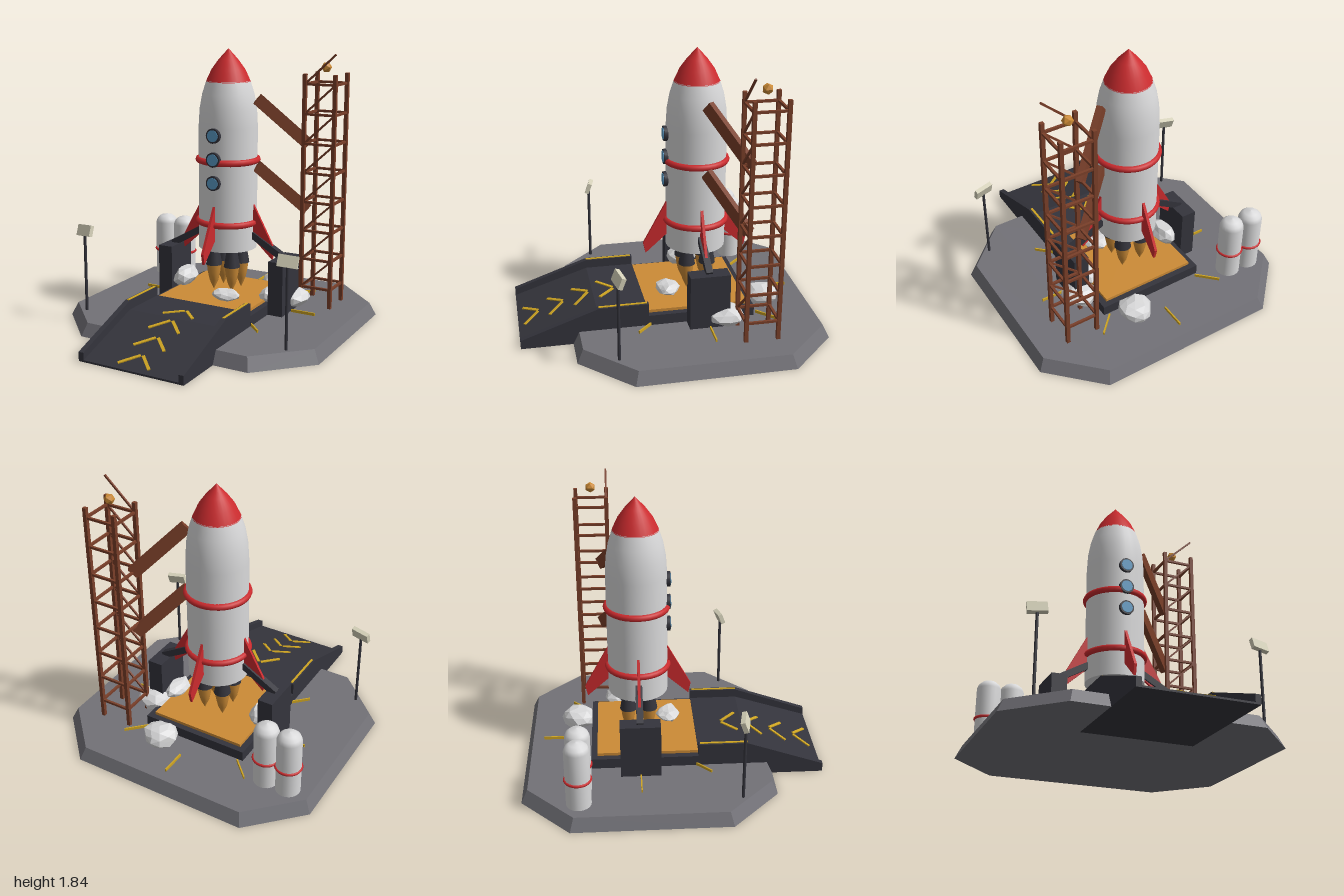
import * as THREE from 'three';
import { ConvexGeometry } from 'three/addons/geometries/ConvexGeometry.js';

const PAD_TOP = 0.085;
const ROCKET_Z = -0.225;

export function createModel() {
  const model = new THREE.Group();
  model.name = 'rocketLaunchPad';

  const mat = (name, color) => {
    const m = new THREE.MeshStandardMaterial({ color });
    m.name = name;
    return m;
  };
  const concrete = mat('concrete', 0x727177);
  const dark = mat('darkMetal', 0x34343c);
  const orange = mat('orange', 0xcc8b36);
  const white = mat('white', 0xd9d9da);
  const red = mat('red', 0xcc2b2e);
  const brown = mat('rustBrown', 0x7a3f29);
  const yellow = mat('yellow', 0xcfa522);
  const blue = mat('windowBlue', 0x5b9dca);
  const cream = mat('lampCream', 0xd6d2ba);

  const add = (name, geo, material, x = 0, y = 0, z = 0, parent = model) => {
    const mesh = new THREE.Mesh(geo, material);
    mesh.name = name;
    mesh.position.set(x, y, z);
    parent.add(mesh);
    return mesh;
  };
  const box = (w, h, d) => new THREE.BoxGeometry(w, h, d);
  const vec = (x, y, z) => new THREE.Vector3(x, y, z);
  const lathe = (pts, n) => new THREE.LatheGeometry(pts.map(p => new THREE.Vector2(...p)), n);

  // Box running from a to b
  const beam = (name, a, b, w, h, material) => {
    const mid = a.clone().add(b).multiplyScalar(0.5);
    const mesh = add(name, box(w, h, a.distanceTo(b)), material, mid.x, mid.y, mid.z);
    mesh.lookAt(b);
    return mesh;
  };

  // Side profile given as [z, y], extruded along x
  const sideProfile = (pts, width) => {
    const geo = new THREE.ExtrudeGeometry(new THREE.Shape(pts.map(p => new THREE.Vector2(...p))),
      { depth: width, bevelEnabled: false });
    return geo.translate(0, 0, -width / 2).rotateY(-Math.PI / 2);
  };

  // Octagonal pad with sloping sides
  const padPoints = [];
  for (const [inset, y] of [[0, 0], [0.04, PAD_TOP]]) {
    const c = 0.32 - inset * 0.4;
    const hx = 0.93 - inset, hz = 0.83 - inset;
    for (const sx of [-1, 1]) for (const sz of [-1, 1]) {
      padPoints.push(vec(sx * hx, y, sz * (hz - c) - 0.17), vec(sx * (hx - c), y, sz * hz - 0.17));
    }
  }
  add('pad', new ConvexGeometry(padPoints), concrete);

  // Radial floor markings
  for (let i = 0; i < 8; i++) {
    const a = i * Math.PI / 4;
    const m = add('floorMarking', box(0.17, 0.02, 0.009), yellow,
      Math.cos(a) * 0.575, PAD_TOP + 0.009, ROCKET_Z + Math.sin(a) * 0.575);
    m.rotation.y = -a;
  }

  // Launch table
  add('tableBase', box(0.75, 0.13, 0.71), dark, 0, 0.09, -0.195);
  add('tableDeck', box(0.666, 0.02, 0.67), orange, 0, 0.165, -0.175);

  // Ramp with side walls
  add('rampDeck', sideProfile([[1, 0], [1, 0.012], [0.49, 0.18], [0.16, 0.18], [0.16, 0]], 0.68), dark);
  for (const s of [-1, 1]) {
    add('rampWall', sideProfile([[1, 0], [1, 0.06], [0.49, 0.24], [0.16, 0.24], [0.16, 0]], 0.036),
      dark, s * 0.355);
    add('wallStripe', box(0.015, 0.006, 0.32), yellow, s * 0.353, 0.242, 0.33);
  }
  [0.345, 0.52, 0.69, 0.86].forEach((z, i) => {
    const chevron = new THREE.Group();
    chevron.name = 'chevron';
    chevron.position.set(0, i ? 0.18 - (z - 0.49) * 0.329 + 0.003 : 0.183, z);
    chevron.rotation.x = i ? Math.atan(0.329) : 0;
    for (const s of [-1, 1]) {
      add('chevronArm', box(0.145, 0.008, 0.02), yellow, s * 0.06, 0, 0.055, chevron)
        .rotation.y = -s * Math.PI / 4;
    }
    model.add(chevron);
  });

  // Support pillars and hold-down arms
  for (const s of [-1, 1]) {
    add('pillar', box(0.105, 0.375, 0.265), dark, s * 0.4275, 0.2675, ROCKET_Z);
    beam('holdDownArm', vec(s * 0.435, 0.45, ROCKET_Z), vec(s * 0.19, 0.59, ROCKET_Z), 0.045, 0.045, dark);
  }

  // Rocket
  const rocket = new THREE.Group();
  rocket.name = 'rocket';
  rocket.position.z = ROCKET_Z;
  model.add(rocket);
  add('body', lathe([[0.2, 0.485], [0.2, 0.9], [0.2, 1.32], [0.193, 1.44], [0.175, 1.54], [0.148, 1.625]], 28),
    white, 0, 0, 0, rocket);
  add('bodyBottom', new THREE.CircleGeometry(0.2, 28).rotateX(Math.PI / 2), white, 0, 0.485, 0, rocket);
  add('noseCone', lathe([[0.15, 1.62], [0.113, 1.7], [0.066, 1.765], [0, 1.838]], 28), red, 0, 0, 0, rocket);
  for (const y of [0.67, 1.095]) {
    add('bodyRing', new THREE.TorusGeometry(0.2, 0.022, 8, 32).rotateX(Math.PI / 2), red, 0, y, 0, rocket);
  }
  for (const y of [0.96, 1.118, 1.278]) {
    add('windowFrame', new THREE.CylinderGeometry(0.05, 0.05, 0.03, 20).rotateX(Math.PI / 2),
      dark, 0, y, 0.205, rocket);
    add('windowGlass', new THREE.CylinderGeometry(0.039, 0.039, 0.006, 20).rotateX(Math.PI / 2),
      blue, 0, y, 0.221, rocket);
  }
  const finShape = new THREE.Shape([[0.19, 0.815], [0.358, 0.505], [0.342, 0.433], [0.19, 0.57]]
    .map(p => new THREE.Vector2(...p)));
  const finGeo = new THREE.ExtrudeGeometry(finShape, { depth: 0.018, bevelEnabled: false }).translate(0, 0, -0.009);
  for (let i = 0; i < 4; i++) {
    add('fin', finGeo, red, 0, 0, 0, rocket).rotation.y = i * Math.PI / 2;
  }
  // Engines with exhaust flames
  for (const sx of [-1, 1]) for (const sz of [-1, 1]) {
    add('engineBell', new THREE.CylinderGeometry(0.034, 0.057, 0.13, 14), dark, sx * 0.07, 0.425, sz * 0.07, rocket);
    add('flame', lathe([[0, 0.178], [0.03, 0.245], [0.043, 0.305], [0.05, 0.362]], 12),
      orange, sx * 0.07, 0, sz * 0.07, rocket);
  }

  // Service tower
  const tx = [0.476, 0.69], tz = [-0.62, -0.408];
  for (const x of tx) for (const z of tz) {
    add('towerPost', box(0.025, 1.59, 0.025), brown, x, 0.88, z);
  }
  for (let i = 0; i < 8; i++) {
    const y = 0.215 + i * 0.199;
    for (const z of tz) add('towerRung', box(0.214, 0.016, 0.016), brown, 0.583, y, z);
    for (const x of tx) add('towerRung', box(0.016, 0.016, 0.212), brown, x, y, -0.514);
    beam('towerBrace', vec(tx[0], y, tz[1]), vec(tx[1], y + 0.199, tz[1]), 0.012, 0.012, brown);
  }
  add('beacon', new THREE.IcosahedronGeometry(0.036, 0), orange, 0.583, 1.715, -0.514);
  for (const y of [1.2, 0.75]) {
    beam('accessArm', vec(0.205, y + 0.31, -0.25), vec(0.485, y, -0.463), 0.04, 0.08, brown);
  }

  // Fuel tanks
  for (const x of [-0.745, -0.587]) {
    add('fuelTank', lathe([[0.081, PAD_TOP], [0.081, 0.3], [0.081, 0.48], [0.07, 0.508], [0.045, 0.53], [0, 0.541]], 20),
      white, x, 0, -0.625);
    add('tankBand', new THREE.TorusGeometry(0.081, 0.01, 6, 24).rotateX(Math.PI / 2), red, x, 0.27, -0.625);
  }

  // Floodlights
  for (const s of [-1, 1]) {
    add('lampPole', new THREE.CylinderGeometry(0.01, 0.01, 0.53, 8), dark, s * 0.744, 0.345, 0.413);
    const head = add('lampHead', box(0.125, 0.075, 0.03), cream, s * 0.744, 0.64, 0.408);
    head.rotation.set(-0.36, s * 0.22, 0);
  }

  // Boulders: jittered icospheres
  const rock = (x, y, z, rx, ry, rz, seed) => {
    const geo = new THREE.IcosahedronGeometry(1, 1);
    const p = geo.attributes.position;
    for (let i = 0; i < p.count; i++) {
      const v = vec(p.getX(i), p.getY(i), p.getZ(i));
      const n = Math.sin(Math.round(v.x * 50) * 12.99 + Math.round(v.y * 50) * 78.23
        + Math.round(v.z * 50) * 37.72 + seed) * 437.58;
      v.multiplyScalar(0.82 + 0.24 * (n - Math.floor(n)));
      p.setXYZ(i, v.x * rx, v.y * ry, v.z * rz);
    }
    geo.computeVertexNormals();
    add('boulder', geo, white, x, y, z);
  };
  rock(0.2, 0.14, -0.65, 0.12, 0.075, 0.12, 1);
  rock(0.44, 0.15, -0.34, 0.12, 0.075, 0.13, 2);
  rock(-0.325, 0.225, -0.205, 0.08, 0.075, 0.12, 3);
  rock(0.34, 0.19, -0.22, 0.075, 0.065, 0.12, 4);
  rock(0.1, 0.205, -0.015, 0.11, 0.045, 0.085, 5);

  return model;
}
